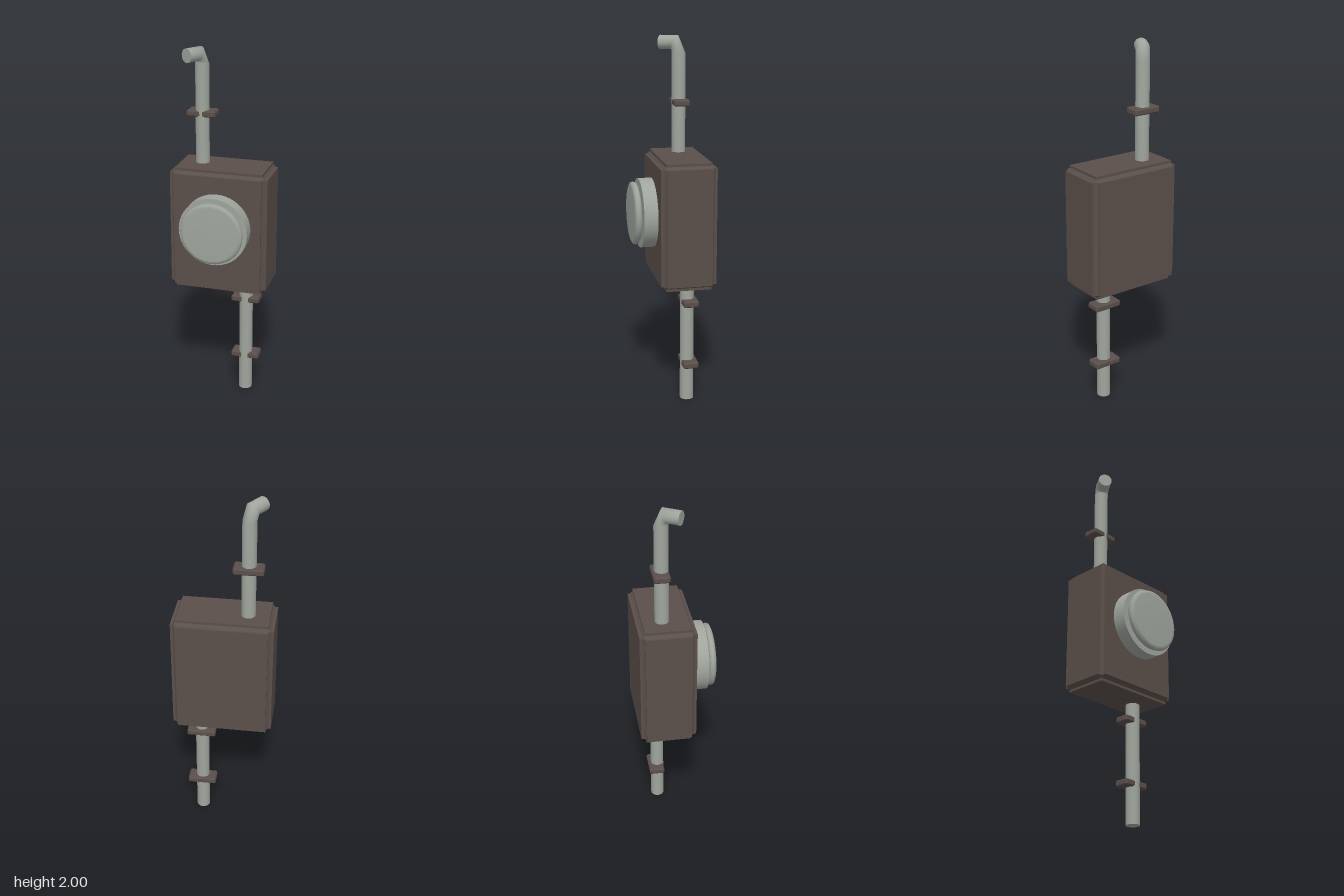
import * as THREE from 'three';
import { ConvexGeometry } from 'three/addons/geometries/ConvexGeometry.js';

const PIPE_R = 0.038, PIPE_Z = -0.078;

// Box with every edge cut at 45 degrees
function chamferedBox(hx, hy, hz, c) {
  const pts = [];
  for (const x of [-1, 1]) for (const y of [-1, 1]) for (const z of [-1, 1]) {
    pts.push(new THREE.Vector3(x * hx, y * (hy - c), z * (hz - c)));
    pts.push(new THREE.Vector3(x * (hx - c), y * hy, z * (hz - c)));
    pts.push(new THREE.Vector3(x * (hx - c), y * (hy - c), z * hz));
  }
  return new ConvexGeometry(pts);
}

// Pipe skinned through tilted rings; each ring runs from an outer to an inner point [u, y]
function bentPipe(rings, dir, sides = 24) {
  const pos = [], idx = [];
  const side = new THREE.Vector3(-dir.z, 0, dir.x);
  for (const [ou, oy, iu, iy] of rings) {
    for (let j = 0; j < sides; j++) {
      const a = (j / sides) * Math.PI * 2;
      const t = (1 - Math.cos(a)) / 2, s = Math.sin(a) * PIPE_R;
      const u = ou + (iu - ou) * t;
      pos.push(dir.x * u + side.x * s, oy + (iy - oy) * t, dir.z * u + side.z * s);
    }
  }
  for (let i = 0; i < rings.length - 1; i++) for (let j = 0; j < sides; j++) {
    const k = (j + 1) % sides;
    const a = i * sides + j, b = i * sides + k, c = a + sides, d = b + sides;
    idx.push(a, c, b, b, c, d);
  }
  const g = new THREE.BufferGeometry();
  g.setAttribute('position', new THREE.Float32BufferAttribute(pos, 3));
  g.setIndex(idx);
  g.computeVertexNormals();
  return g;
}

export function createModel() {
  const model = new THREE.Group();
  const brown = new THREE.MeshStandardMaterial({ color: 0x5a4f4a });
  brown.name = 'dark brown casing';
  const grey = new THREE.MeshStandardMaterial({ color: 0x9fa59d, side: THREE.DoubleSide });
  grey.name = 'grey metal';

  const add = (name, geo, mat, x = 0, y = 0, z = 0, parent = model) => {
    const m = new THREE.Mesh(geo, mat);
    m.name = name;
    m.position.set(x, y, z);
    parent.add(m);
    return m;
  };

  // Casing: raised panels around a chamfered core, leaving grooves on the edges
  const casing = new THREE.Group();
  casing.name = 'casing';
  casing.position.set(0, 1.018, -0.0635);
  model.add(casing);
  const X = 0.272, Y = 0.347, Z = 0.1515, n = 0.028;
  add('casingCore', chamferedBox(X - n / 2, Y - n / 2, Z - n / 2, n / 2), brown, 0, 0, 0, casing);
  add('sidePanels', new THREE.BoxGeometry(2 * X, 2 * (Y - n), 2 * (Z - n)), brown, 0, 0, 0, casing);
  add('topBottomPanels', new THREE.BoxGeometry(2 * (X - n), 2 * Y, 2 * (Z - n)), brown, 0, 0, 0, casing);
  add('frontBackPanels', new THREE.BoxGeometry(2 * (X - n), 2 * (Y - n), 2 * Z), brown, 0, 0, 0, casing);

  // Dial: short drum with a rounded disc in front of it
  const drum = add('dialDrum', new THREE.CylinderGeometry(0.19, 0.19, 0.075, 48), grey, 0, 1.055, 0.129);
  drum.rotation.x = Math.PI / 2;
  const profile = [[0, 0.172], [0.155, 0.172], [0.166, 0.178], [0.173, 0.193], [0.168, 0.205], [0.15, 0.212], [0, 0.212]]
    .map(([r, h]) => new THREE.Vector2(r, h));
  const disc = add('dialDisc', new THREE.LatheGeometry(profile, 48), grey, 0, 1.055, 0);
  disc.rotation.x = Math.PI / 2;

  // Lower pipe
  add('lowerPipe', new THREE.CylinderGeometry(PIPE_R, PIPE_R, 0.7, 24), grey, 0.127, 0.35, PIPE_Z);

  // Upper pipe, bent forward and to the right at its top
  const dir = new THREE.Vector3(-0.53, 0, 0.85).normalize();
  const r = PIPE_R;
  const upper = bentPipe([
    [-r, 1.34, r, 1.34],
    [-r, 1.905, r, 1.92],
    [0.004, 2.0, 0.043, 1.926],
    [0.108, 2.0, 0.108, 1.924],
  ], dir);
  add('upperPipe', upper, grey, -0.128, 0, PIPE_Z - 0.004);
  const cap = add('upperPipeEnd', new THREE.CircleGeometry(r, 24), grey,
    -0.128 + dir.x * 0.108, 1.962, PIPE_Z - 0.004 + dir.z * 0.108);
  cap.rotation.y = Math.atan2(dir.x, dir.z);

  // Pipe brackets
  for (const [x, y] of [[-0.128, 1.641], [0.127, 0.575], [0.127, 0.218]]) {
    add('pipeBracket', chamferedBox(0.08, 0.018, 0.043, 0.007), brown, x, y, -0.088);
  }
  return model;
}
